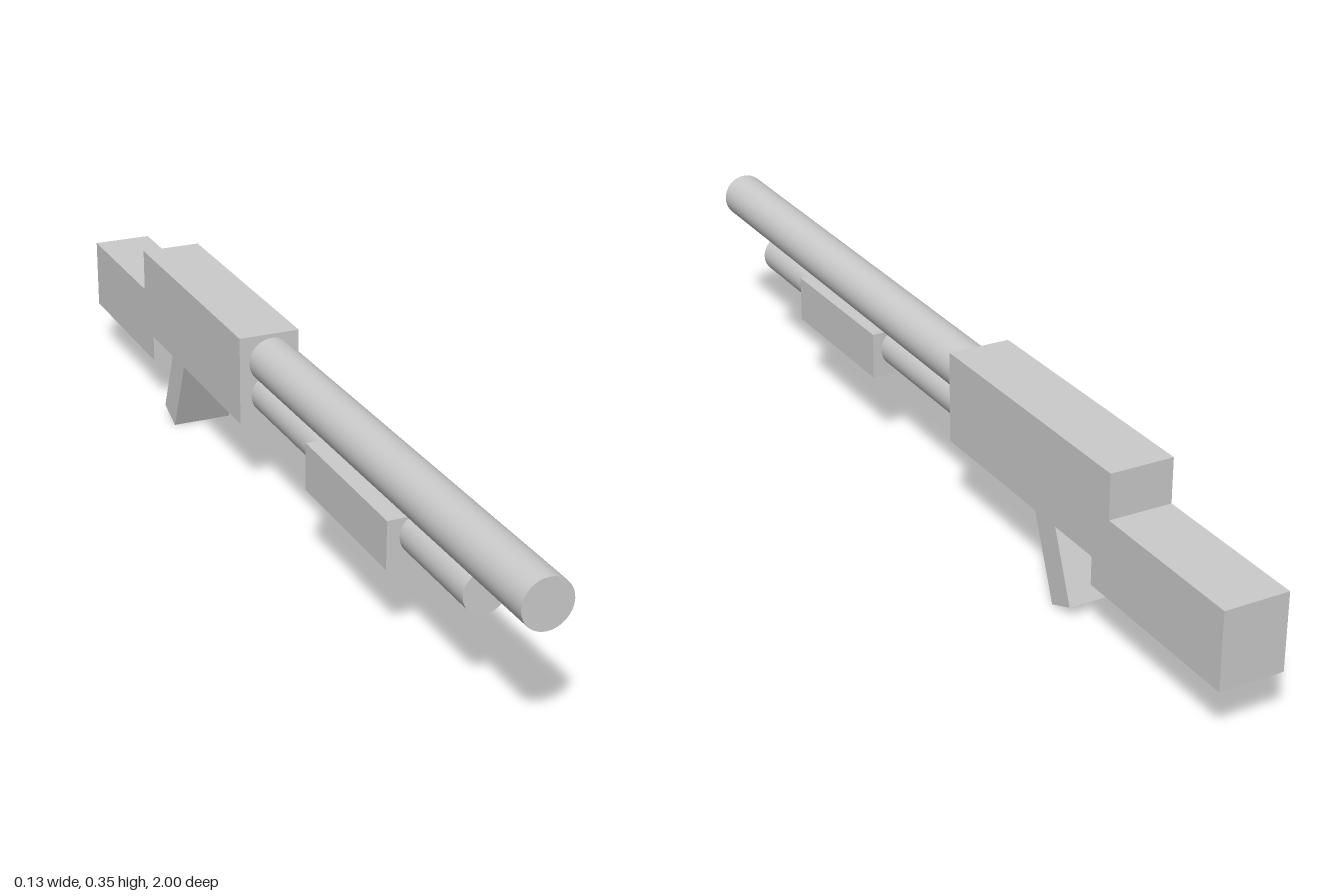
import * as THREE from 'three';

export function createModel() {
  const model = new THREE.Group();
  const material = new THREE.MeshStandardMaterial({ color: 0xcccccc });
  const width = 0.127;

  const add = (name, geometry) => {
    const mesh = new THREE.Mesh(geometry, material);
    mesh.name = name;
    model.add(mesh);
    return mesh;
  };

  // Full-width block spanning the given heights and depths
  const block = (name, y0, y1, z0, z1) =>
    add(name, new THREE.BoxGeometry(width, y1 - y0, z1 - z0))
      .position.set(-0.001, (y0 + y1) / 2, (z0 + z1) / 2);

  // Round tube running between two points
  const tube = (name, radius, x, yBack, zBack, yFront, zFront) => {
    const back = new THREE.Vector3(x, yBack, zBack);
    const front = new THREE.Vector3(x, yFront, zFront);
    const mesh = add(name, new THREE.CylinderGeometry(radius, radius, back.distanceTo(front), 32));
    mesh.position.copy(back).add(front).multiplyScalar(0.5);
    mesh.quaternion.setFromUnitVectors(new THREE.Vector3(0, 1, 0), front.sub(back).normalize());
  };

  block('receiver', 0.164, 0.348, -0.665, -0.103);
  block('stock', 0.108, 0.259, -1, -0.615);
  block('foreGrip', 0.164, 0.26, 0.222, 0.57);

  // Upper barrel and lower magazine tube, both rising slightly to the front
  tube('barrel', 0.048, 0.004, 0.291, -0.15, 0.303, 1);
  tube('magazineTube', 0.042, 0.002, 0.22, -0.15, 0.226, 0.805);

  // Slanted handle, its top buried in the receiver
  const handle = add('handle', new THREE.BoxGeometry(width, 0.22, 0.064).translate(0, 0.11, -0.032));
  handle.position.set(-0.001, 0.002, -0.49);
  handle.rotation.x = 0.385;

  return model;
}
